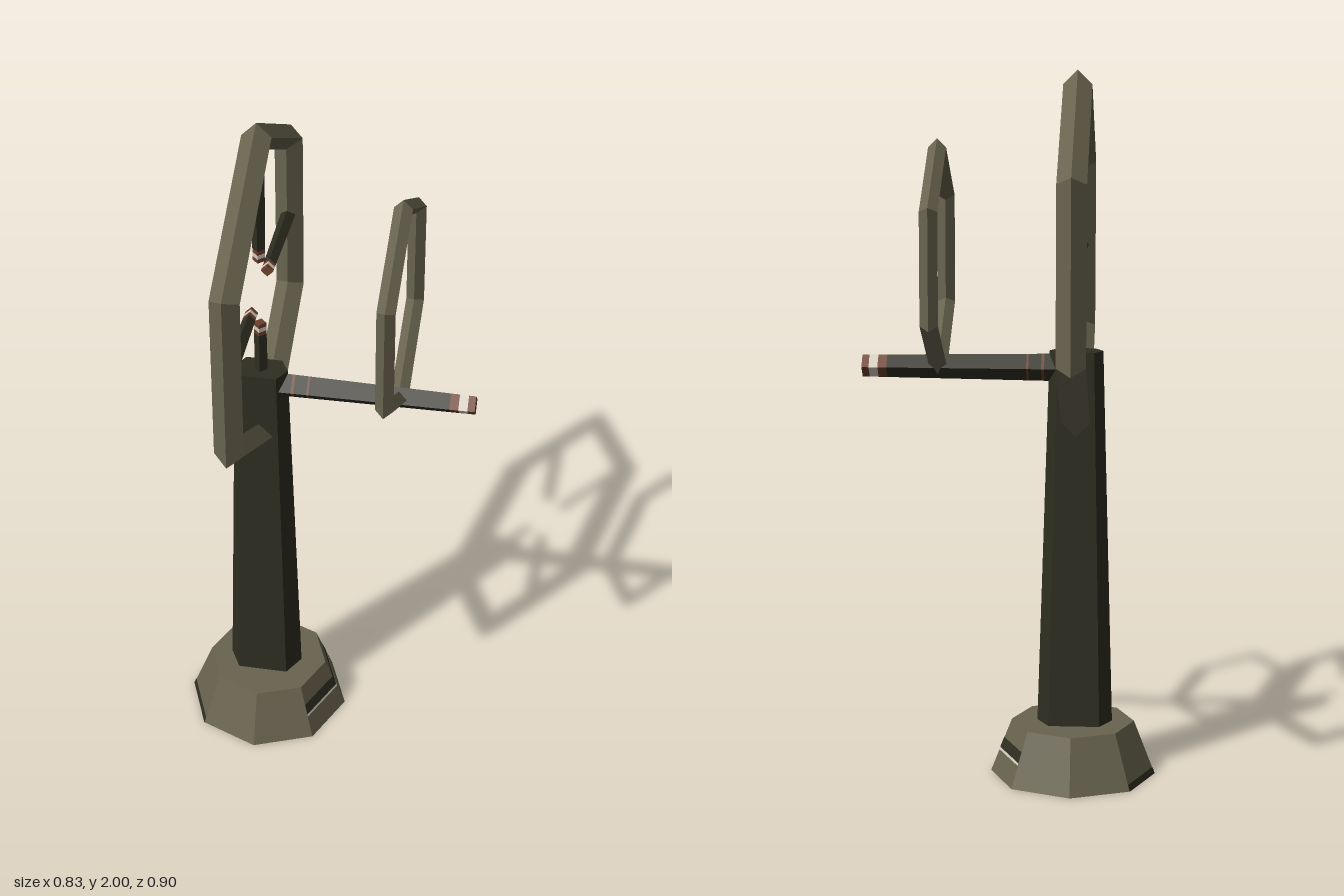
import * as THREE from 'three';

const mat = (name, color, side = THREE.FrontSide) => {
  const m = new THREE.MeshStandardMaterial({ color, side });
  m.name = name;
  return m;
};

// Faceted mesh: split the faces so each one gets its own normal
function facet(geometry, material, name) {
  const g = geometry.index ? geometry.toNonIndexed() : geometry;
  g.computeVertexNormals();
  const mesh = new THREE.Mesh(g, material);
  mesh.name = name;
  return mesh;
}

// Four-sided tapered rod along +y, split into coloured lengths [start, end, material]
function rod(name, r0, r1, length, pieces) {
  const group = new THREE.Group();
  group.name = name;
  const radius = (y) => r0 + (r1 - r0) * (y / length);
  for (const [a, b, material] of pieces) {
    const g = new THREE.CylinderGeometry(radius(b), radius(a), b - a, 4);
    g.translate(0, (a + b) / 2, 0);
    group.add(facet(g, material, material.name + 'Section'));
  }
  return group;
}

export function createModel() {
  const olive = mat('oliveMetal', 0x69644f);
  const dark = mat('darkMetal', 0x2f2e21);
  const rust = mat('rust', 0x6e412c);
  const pale = mat('paleMetal', 0xd6cdc0);

  const model = new THREE.Group();
  model.name = 'ringAntenna';
  const X = -0.185;
  const CY = 1.48;

  // Octagonal foot
  const H = 0.155, R0 = 0.235, R1 = 0.175, BX = -0.18;
  const foot = facet(new THREE.CylinderGeometry(R1, R0, H, 8), olive, 'foot');
  foot.position.set(BX, H / 2, 0);
  model.add(foot);

  // Thin bands lying on two neighbouring foot faces
  const footBand = (name, y0, y1, theta, material, lift) => {
    const r = (y) => R0 + (R1 - R0) * (y / H) + lift;
    const g = new THREE.CylinderGeometry(r(y1), r(y0), y1 - y0, 2, 1, true, theta, Math.PI / 2);
    const band = facet(g, material, name);
    band.position.set(BX, (y0 + y1) / 2, 0);
    model.add(band);
  };
  footBand('footSlot', 0.07, 0.1, Math.PI / 4, dark, 0.001);
  footBand('footSlotEdge', 0.063, 0.07, Math.PI / 4, pale, 0.001);
  footBand('footWear', 0.0, 0.018, Math.PI * 5 / 4, dark, 0.001);

  // Tapered post: a hexagon stretched along x, with broad front and back faces
  const postGeo = new THREE.CylinderGeometry(0.075, 0.107, 1.075, 6);
  postGeo.rotateY(Math.PI / 6);
  const p = postGeo.attributes.position;
  for (let i = 0; i < p.count; i++) {
    const x = p.getX(i), z = p.getZ(i);
    if (Math.abs(z) > 0.01) p.setXYZ(i, x * 1.35, p.getY(i), z * 0.7);
  }
  const post = facet(postGeo, dark, 'post');
  post.position.set(X, 0.15 + 1.075 / 2, 0);
  model.add(post);

  // Hexagonal rings with a diamond section, standing across the x axis
  const ring = (name, x, radius, tube) => {
    const g = new THREE.TorusGeometry(radius, tube, 4, 6);
    g.rotateZ(Math.PI / 6);
    g.rotateY(Math.PI / 2);
    const mesh = facet(g, olive, name);
    mesh.position.set(x, CY, 0);
    model.add(mesh);
  };
  ring('largeRing', X, 0.48, 0.04);
  ring('smallRing', 0.202, 0.307, 0.025);

  // Arm carrying the small ring, with a banded tip
  const arm = rod('arm', 0.039, 0.031, 0.565, [
    [0, 0.054, dark], [0.054, 0.062, rust], [0.062, 0.098, dark], [0.098, 0.104, rust],
    [0.104, 0.495, dark], [0.495, 0.52, rust], [0.52, 0.545, pale], [0.545, 0.565, rust],
  ]);
  arm.rotation.z = -Math.PI / 2;
  arm.position.set(-0.15, 1.177, 0);
  model.add(arm);

  // Four spokes pointing at the centre of the large ring
  for (let k = 0; k < 4; k++) {
    const start = k % 2 ? 0.4 : 0.46;
    const L = start - 0.1;
    const spoke = rod('spoke', 0.021, 0.017, L, [
      [0, L - 0.037, dark], [L - 0.037, L - 0.025, rust],
      [L - 0.025, L - 0.012, pale], [L - 0.012, L, rust],
    ]);
    spoke.position.y = -start;
    const pivot = new THREE.Group();
    pivot.name = 'spokeMount';
    pivot.position.set(X, CY, 0);
    pivot.rotation.x = k * Math.PI / 2;
    pivot.add(spoke);
    model.add(pivot);
  }

  return model;
}
